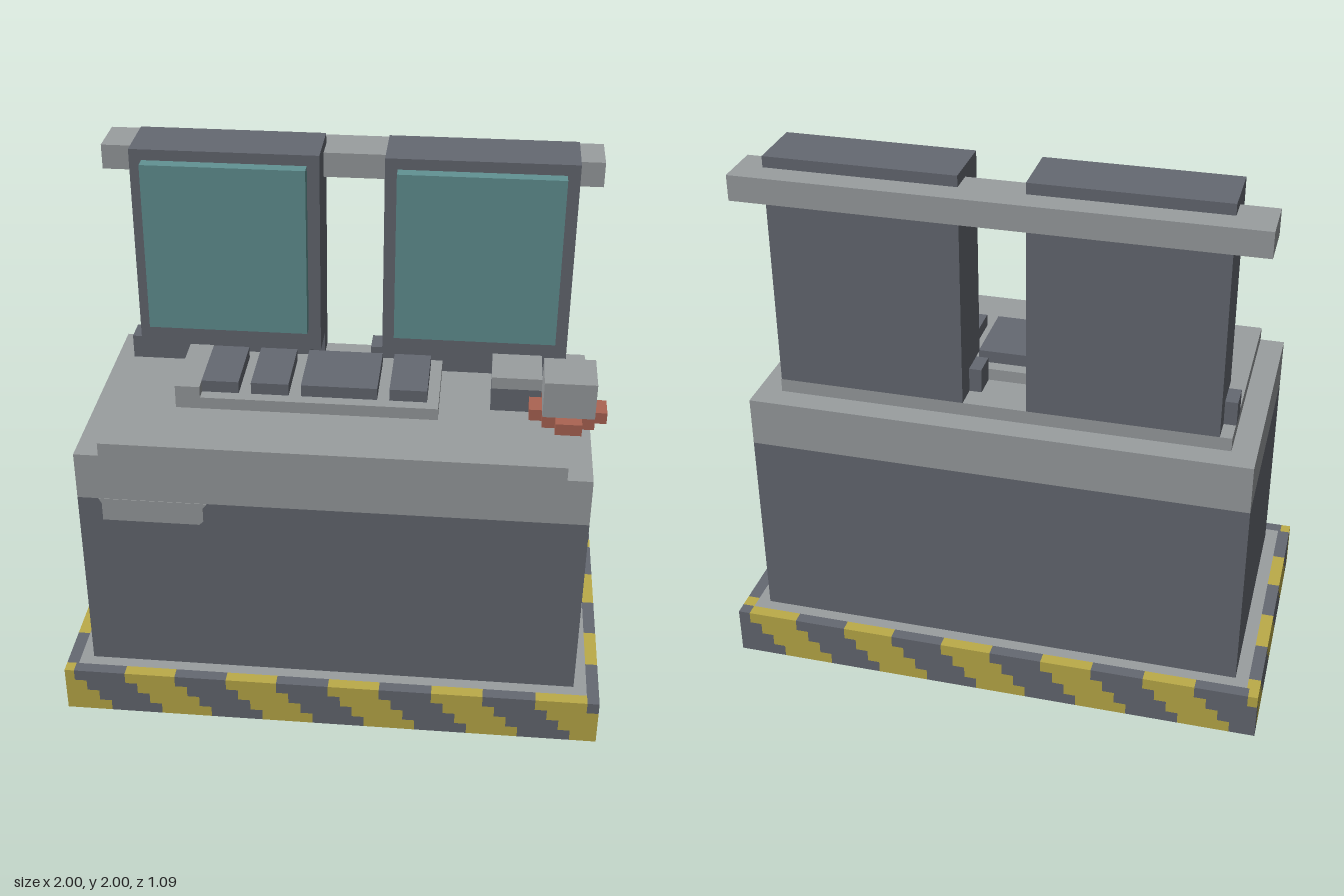
import * as THREE from 'three';
import { mergeGeometries } from 'three/addons/utils/BufferGeometryUtils.js';

const paint = (name, color) => {
  const m = new THREE.MeshStandardMaterial({ color });
  m.name = name;
  return m;
};

// Box geometry given by its minimum and maximum on each axis
const span = (x0, x1, y0, y1, z0, z1) =>
  new THREE.BoxGeometry(x1 - x0, y1 - y0, z1 - z0)
    .translate((x0 + x1) / 2, (y0 + y1) / 2, (z0 + z1) / 2);

export function createModel() {
  const model = new THREE.Group();
  model.name = 'controlConsole';
  const dark = paint('darkGrey', 0x656972);
  const light = paint('lightGrey', 0x9a9ea0);
  const teal = paint('screenTeal', 0x629394);
  const yellow = paint('hazardYellow', 0xbcac49);
  const red = paint('valveRed', 0xac6453);

  const add = (name, material, ...geometries) => {
    const mesh = new THREE.Mesh(geometries.length > 1 ? mergeGeometries(geometries) : geometries[0], material);
    mesh.name = name;
    model.add(mesh);
  };

  // Plinth with a border of stepped hazard stripes
  const T = 0.045, PERIOD = 0.384, WIDTH = 0.19, HX = 1, HZ = 0.545;
  add('plinth', light, span(-HX + T, HX - T, 0, 0.18, -HZ + T, HZ - T));
  const stripes = { yellow: [], dark: [] };
  const sides = [ // rotation, half length, distance from centre, start of a yellow stripe
    [0, HX, HZ, -0.77],
    [Math.PI, HX, HZ, -0.572],
    [Math.PI / 2, HZ - T, HX, -0.32],
    [-Math.PI / 2, HZ - T, HX, -0.254],
  ];
  for (const [turn, half, dist, phase] of sides) {
    for (let row = 0; row < 4; row++) {
      const top = 0.18 - row * T;
      for (let k = -6; k <= 6; k++) {
        const u = phase + row * T + k * PERIOD;
        for (const [key, from, to] of [['yellow', u, u + WIDTH], ['dark', u + WIDTH, u + PERIOD]]) {
          const a = Math.max(from, -half), b = Math.min(to, half);
          if (b - a > 0.001) stripes[key].push(span(a, b, top - T, top, dist - T, dist).rotateY(turn));
        }
      }
    }
  }
  add('yellowStripes', yellow, ...stripes.yellow);
  add('darkStripes', dark, ...stripes.dark);

  // Cabinet, its pale upper band and worktop
  add('cabinet', dark, span(-0.907, 0.907, 0.18, 0.91, -0.455, 0.455));
  add('cabinetBand', light, span(-0.907, 0.907, 0.91, 1.09, -0.455, 0.455));
  add('worktop', light, span(-0.818, 0.818, 1.09, 1.14, -0.363, 0.455));

  // Painted patch hanging from the band on the front
  const patch = new THREE.Shape([
    [-0.83, 0.91], [-0.82, 0.89], [-0.82, 0.82], [-0.47, 0.82], [-0.455, 0.835], [-0.455, 0.89], [-0.44, 0.91],
  ].map(([x, y]) => new THREE.Vector2(x, y)));
  add('frontPatch', light,
    new THREE.ExtrudeGeometry(patch, { depth: 0.003, bevelEnabled: false }).translate(0, 0, 0.454));

  // Two monitors, each with a foot and a raised screen
  for (const [side, x] of [['right', -0.775], ['left', 0.135]]) {
    add(side + 'Monitor', dark, span(x, x + 0.68, 1.23, 2, -0.363, -0.138));
    add(side + 'MonitorBack', dark, span(x, x + 0.68, 1.14, 1.23, -0.363, -0.275));
    add(side + 'MonitorFoot', dark, span(x - 0.045, x + 0.635, 1.14, 1.23, -0.275, -0.182));
    add(side + 'Screen', teal, span(x + 0.045, x + 0.635, 1.32, 1.96, -0.138, -0.091));
  }
  add('backRail', light, span(-0.907, 0.907, 1.868, 1.96, -0.455, -0.272));

  // Keyboard tray with a raised end and four blocks of keys
  add('keyTray', light, span(-0.59, 0.36, 1.14, 1.185, -0.182, 0.18));
  add('keyTrayEnd', light, span(-0.59, -0.5, 1.185, 1.228, -0.182, 0.18));
  add('keys', dark, ...[[-0.5, -0.365], [-0.32, -0.183], [-0.138, 0.138], [0.182, 0.318]]
    .map(([a, b]) => span(a, b, 1.185, 1.23, -0.135, 0.135)));

  // Small control box with a pale cap
  add('controlBox', dark, span(0.545, 0.725, 1.14, 1.23, -0.09, 0.09));
  add('controlBoxCap', light, span(0.545, 0.725, 1.23, 1.275, -0.09, 0.09));

  // Corner knob with a red cross-shaped collar
  add('knob', light, span(0.725, 0.907, 1.23, 1.365, 0.09, 0.273));
  add('knobCollar', red,
    span(0.725, 0.907, 1.187, 1.23, 0.09, 0.273),
    span(0.68, 0.725, 1.187, 1.23, 0.136, 0.227),
    span(0.907, 0.952, 1.187, 1.23, 0.136, 0.227),
    span(0.77, 0.862, 1.187, 1.23, 0.045, 0.09),
    span(0.77, 0.862, 1.187, 1.23, 0.273, 0.318));

  return model;
}
